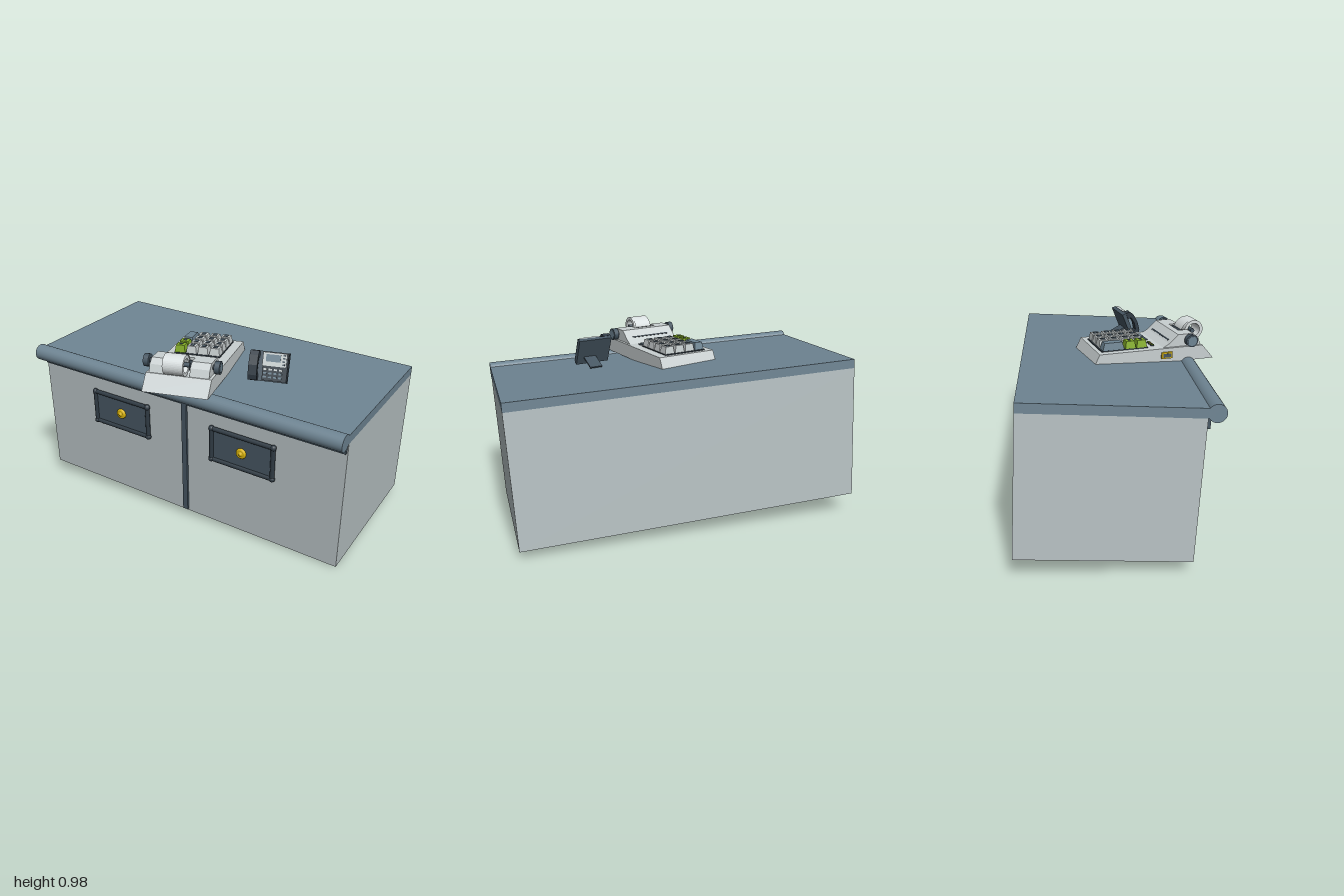
import * as THREE from 'three';

const mat = (name, color, side = THREE.FrontSide) => {
  const m = new THREE.MeshStandardMaterial({ color, side });
  m.name = name;
  return m;
};

export function createModel() {
  const cabinetGrey = mat('cabinetGrey', 0xb7c1c3);
  const slate = mat('slateBlue', 0x6e8492);
  const dark = mat('darkSlate', 0x465662);
  const black = mat('charcoal', 0x303b44);
  const casing = mat('casingGrey', 0xc9d0d1);
  const paper = mat('paper', 0xd9dfe0, THREE.DoubleSide);
  const green = mat('green', 0x86b028);
  const gold = mat('gold', 0xdcb50c);

  const model = new THREE.Group();
  model.name = 'shopCounter';

  const add = (parent, name, geo, material, x = 0, y = 0, z = 0) => {
    const m = new THREE.Mesh(geo, material);
    m.name = name;
    m.position.set(x, y, z);
    parent.add(m);
    return m;
  };
  const box = (parent, name, w, h, d, material, x, y, z) =>
    add(parent, name, new THREE.BoxGeometry(w, h, d), material, x, y, z);
  // Cylinder lying along x
  const rod = (parent, name, r, len, material, x, y, z, sides = 24) =>
    add(parent, name, new THREE.CylinderGeometry(r, r, len, sides).rotateZ(Math.PI / 2), material, x, y, z);
  // Side profile of [z, y] points, extruded from x0 to x1
  const profile = (parent, name, pts, x0, x1, material) => {
    const shape = new THREE.Shape(pts.map(([z, y]) => new THREE.Vector2(z, y)));
    const geo = new THREE.ExtrudeGeometry(shape, { depth: x1 - x0, bevelEnabled: false });
    return add(parent, name, geo.rotateY(-Math.PI / 2).translate(x1, 0, 0), material);
  };

  // ---- Counter, turned and slightly tilted ----
  const counter = new THREE.Group();
  counter.name = 'counter';
  const ax = new THREE.Vector3(1.76, -0.075, 0.46).normalize();
  const ay = new THREE.Vector3(-0.21, -0.045, 0.81).cross(ax).normalize();
  const az = new THREE.Vector3().crossVectors(ax, ay);
  counter.quaternion.setFromRotationMatrix(new THREE.Matrix4().makeBasis(ax, ay, az));
  counter.position.set(-0.015, 0.06, -0.065);
  model.add(counter);

  const W = 1.82, D = 0.838, H = 0.71, front = D / 2;
  box(counter, 'cabinet', W, H, D, cabinetGrey, 0, H / 2, 0);
  box(counter, 'worktop', W, 0.047, D + 0.03, slate, 0, H + 0.0235, 0.015);
  rod(counter, 'roundedFrontEdge', 0.043, W, slate, 0, 0.734, front + 0.04, 32);
  box(counter, 'trimUnderEdge', W - 0.01, 0.06, 0.014, dark, 0, 0.69, front + 0.007);
  box(counter, 'centreStrip', 0.03, 0.66, 0.012, dark, 0.024, 0.34, front + 0.006);

  for (const x of [-0.382, 0.368]) {
    const drawer = new THREE.Group();
    drawer.name = 'drawer';
    drawer.position.set(x, 0.485, front);
    counter.add(drawer);
    box(drawer, 'drawerPanel', 0.36, 0.18, 0.014, dark, 0, 0, 0.007);
    for (const s of [-1, 1]) {
      rod(drawer, 'drawerRail', 0.012, 0.35, black, 0, s * 0.089, 0.014, 12);
      add(drawer, 'drawerStile', new THREE.CylinderGeometry(0.012, 0.012, 0.178, 12), black, s * 0.175, 0, 0.014);
      for (const t of [-1, 1])
        add(drawer, 'drawerCorner', new THREE.SphereGeometry(0.016, 12, 8), black, s * 0.175, t * 0.089, 0.014);
    }
    // Round pull with a raised centre
    const knob = [[0, 0.02], [0.008, 0.018], [0.012, 0.01], [0.018, 0.012], [0.024, 0.012], [0.028, 0.006], [0.028, 0]];
    add(drawer, 'drawerKnob',
      new THREE.LatheGeometry(knob.reverse().map(([r, y]) => new THREE.Vector2(r, y)), 20).rotateX(Math.PI / 2),
      gold, 0, 0, 0.014);
  }

  // ---- Cash register ----
  const register = new THREE.Group();
  register.name = 'cashRegister';
  model.add(register);
  profile(register, 'registerBase',
    [[0.535, 0.8], [0.47, 0.876], [-0.102, 0.876], [-0.13, 0.82], [-0.13, 0.8]], -0.25, 0.09, casing);

  // Printer housing: back part and two cheeks around the paper bay
  profile(register, 'printerHousing',
    [[0.37, 0.875], [0.37, 0.94], [0.335, 0.94], [0.285, 0.895], [0.25, 0.875]], -0.235, 0.075, casing);
  for (const [a, b] of [[-0.235, -0.155], [-0.025, 0.075]])
    profile(register, 'housingCheek', [[0.465, 0.875], [0.45, 0.915], [0.42, 0.94], [0.37, 0.94], [0.37, 0.875]], a, b, casing);
  rod(register, 'platen', 0.026, 0.14, black, -0.09, 0.908, 0.395);
  const slot = box(register, 'paperSlot', 0.23, 0.004, 0.008, black, -0.083, 0.905, 0.296);
  slot.rotation.x = -0.73;
  for (const s of [-1, 1]) {
    rod(register, 'platenKnob', 0.033, 0.028, dark, -0.084 + s * 0.184, 0.912, 0.395, 16);
    rod(register, 'knobFace', 0.025, 0.004, slate, -0.084 + s * 0.198, 0.912, 0.395, 16);
    rod(register, 'knobShaft', 0.014, 0.03, black, -0.084 + s * 0.168, 0.912, 0.395, 12);
  }

  // Hollow paper roll and its loose end
  const ring = new THREE.Shape().absarc(0, 0, 0.052, 0, Math.PI * 2);
  ring.holes.push(new THREE.Path().absarc(0, 0, 0.035, 0, Math.PI * 2, true));
  add(register, 'paperRoll',
    new THREE.ExtrudeGeometry(ring, { depth: 0.105, bevelEnabled: false, curveSegments: 20 }).rotateY(-Math.PI / 2),
    paper, -0.04, 0.932, 0.465);
  rod(register, 'paperSpindle', 0.012, 0.135, dark, -0.0925, 0.932, 0.45, 12);
  add(register, 'paperTail',
    new THREE.CylinderGeometry(0.07, 0.07, 0.1, 12, 1, true, Math.PI / 2, Math.PI * 0.4).rotateZ(Math.PI / 2),
    paper, -0.0925, 0.914, 0.46);

  // Keypad
  box(register, 'keypadBed', 0.25, 0.006, 0.256, black, -0.085, 0.878, 0.048);
  const key = (x, z, w, d, material) => {
    const geo = new THREE.CylinderGeometry(0.8 * Math.SQRT1_2, Math.SQRT1_2, 1, 4).rotateY(Math.PI / 4).toNonIndexed();
    geo.scale(w, 0.038, d);
    geo.computeVertexNormals();
    add(register, 'key', geo, material, x, 0.9, z);
  };
  const rows = [-0.044, 0.018, 0.08, 0.142];
  for (const z of rows) {
    for (const x of [-0.118, -0.055, 0.008]) {
      key(x, z, 0.057, 0.057, casing);
      box(register, 'keyInlay', 0.022, 0.003, 0.026, dark, x, 0.92, z);
    }
  }
  key(-0.181, -0.013, 0.055, 0.118, slate);
  for (const z of [0.08, 0.142]) {
    key(-0.181, z, 0.057, 0.057, green);
    box(register, 'keyInlay', 0.016, 0.003, 0.012, dark, -0.181, 0.92, z);
  }

  // Indicator row and side plate
  [green, gold, green].forEach((m, i) => {
    add(register, 'indicatorRim', new THREE.CylinderGeometry(0.011, 0.011, 0.005, 12), black, -0.175 + i * 0.027, 0.878, 0.213);
    add(register, 'indicator', new THREE.CylinderGeometry(0.007, 0.007, 0.009, 12), m, -0.175 + i * 0.027, 0.878, 0.213);
  });
  box(register, 'switchBed', 0.11, 0.006, 0.026, dark, -0.02, 0.878, 0.213);
  box(register, 'switchSlider', 0.045, 0.012, 0.016, slate, 0.003, 0.88, 0.213);
  box(register, 'sidePlate', 0.012, 0.034, 0.06, gold, -0.254, 0.84, 0.265);
  box(register, 'sidePlateInset', 0.004, 0.02, 0.044, dark, -0.2605, 0.84, 0.265);

  // ---- Desk phone, leaning back on a flat stand ----
  const phone = new THREE.Group();
  phone.name = 'deskPhone';
  phone.position.set(0.33, 0.881, 0.232);
  phone.rotation.x = -0.38;
  model.add(phone);
  box(phone, 'phoneBody', 0.19, 0.15, 0.022, dark, -0.012, 0, -0.006);
  box(phone, 'phoneFace', 0.125, 0.14, 0.012, black, 0.018, 0, 0.01);
  box(phone, 'screenSurround', 0.12, 0.068, 0.012, casing, 0.012, 0.037, 0.014);
  box(phone, 'screen', 0.074, 0.036, 0.004, slate, 0.006, 0.043, 0.021);
  for (let i = 0; i < 4; i++) {
    box(phone, 'sideButton', 0.012, 0.008, 0.005, dark, 0.06, 0.062 - i * 0.016, 0.021);
    for (let j = 0; j < 3; j++)
      box(phone, 'phoneButton', 0.016, 0.009, 0.006, j ? slate : casing, -0.03 + i * 0.026, -0.014 - j * 0.019, 0.018);
  }
  profile(phone, 'handset',
    [[0.004, -0.076], [0.03, -0.074], [0.044, -0.05], [0.05, 0], [0.044, 0.05], [0.03, 0.074], [0.004, 0.076],
      [0.004, 0.042], [0.024, 0.038], [0.03, 0], [0.024, -0.038], [0.004, -0.042]], -0.111, -0.066, black);

  const stand = box(model, 'phoneStand', 0.07, 0.008, 0.105, dark, 0.34, 0.827, 0.195);
  stand.rotation.x = -0.46;

  return model;
}
